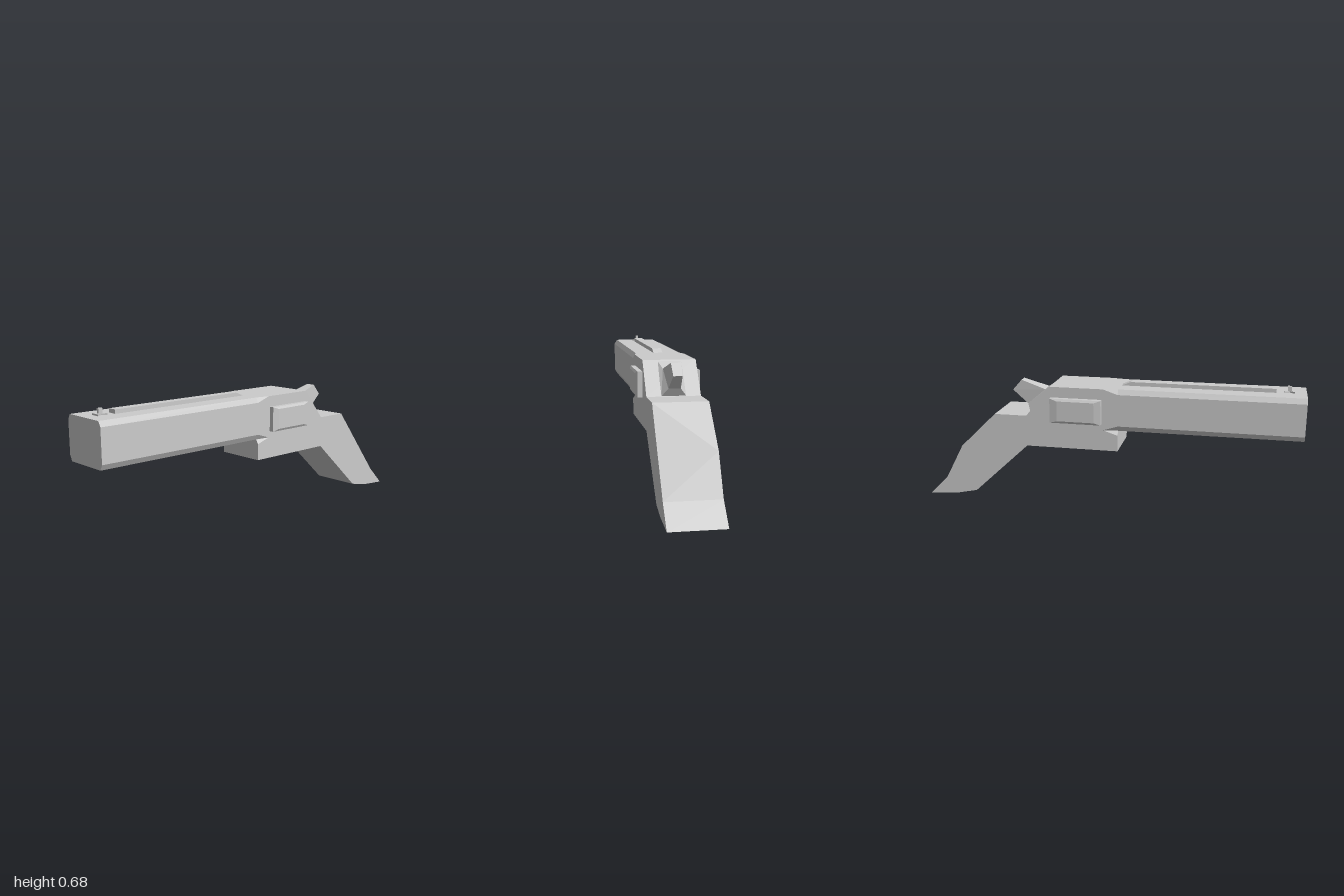
import * as THREE from 'three';
import { ConvexGeometry } from 'three/addons/geometries/ConvexGeometry.js';

const material = new THREE.MeshStandardMaterial({ color: 0xcccccc, flatShading: true, side: THREE.DoubleSide });
const HALF = 0.133; // half width of the frame

function part(name, geometry) {
  const mesh = new THREE.Mesh(geometry, material);
  mesh.name = name;
  return mesh;
}

const points = (list) => list.map((p) => new THREE.Vector3(...p));

// Full outline from its right half, which runs from top to bottom
function mirrored(half, z) {
  return points([
    ...half.map(([x, y]) => [x, y, z]),
    ...half.map(([x, y]) => [-x, y, z]).reverse(),
  ]);
}

// Skin between rings of equal point count (clockwise seen from +z, front ring first)
function loft(rings) {
  const pos = [];
  const tri = (a, b, c) => {
    const area = new THREE.Vector3().crossVectors(b.clone().sub(a), c.clone().sub(a)).length();
    if (area > 1e-8) for (const p of [a, b, c]) pos.push(p.x, p.y, p.z);
  };
  for (let r = 0; r < rings.length - 1; r++) {
    const f = rings[r], g = rings[r + 1], n = f.length;
    for (let i = 0; i < n; i++) {
      const j = (i + 1) % n;
      tri(f[i], f[j], g[i]);
      tri(f[j], g[j], g[i]);
    }
  }
  const cap = (ring, flip) => {
    const flat = ring.map((p) => new THREE.Vector2(p.x, p.y)).reverse();
    const rev = [...ring].reverse();
    for (const [a, b, c] of THREE.ShapeUtils.triangulateShape(flat, [])) {
      if (flip) tri(rev[a], rev[c], rev[b]);
      else tri(rev[a], rev[b], rev[c]);
    }
  };
  cap(rings[0], false);
  cap(rings[rings.length - 1], true);
  const geo = new THREE.BufferGeometry();
  geo.setAttribute('position', new THREE.Float32BufferAttribute(pos, 3));
  geo.computeVertexNormals();
  return geo;
}

// Side profile of [z, y] points extruded across x
function sideExtrude(profile, width, xCentre = 0) {
  const shape = new THREE.Shape(profile.map(([z, y]) => new THREE.Vector2(-z, y)));
  return new THREE.ExtrudeGeometry(shape, { depth: width, bevelEnabled: false })
    .rotateY(Math.PI / 2)
    .translate(xCentre - width / 2, 0, 0);
}

export function createModel() {
  const group = new THREE.Group();

  // Long barrel with chamfered corners
  const barrel = [[0.118, 0.643], [HALF, 0.617], [HALF, 0.45], [0.118, 0.423]];
  group.add(part('barrel', loft([mirrored(barrel, 1), mirrored(barrel, 0.06)])));

  // Front of the frame, where chamfers and side grooves run out to a point
  const front = [...barrel, [HALF, 0.4], [HALF, 0.315]];
  const back = [[HALF, 0.643], [HALF, 0.643], [HALF, 0.425], [HALF, 0.425], [HALF, 0.425], [HALF, 0.315]];
  group.add(part('frameFront', loft([mirrored(front, 0.06), mirrored(back, -0.017)])));

  // Frame and grip share one side profile
  group.add(part('frameAndGrip', sideExtrude([
    [-0.017, 0.315], [-0.43, 0.315], [-0.73, 0.037], [-0.84, 0.013], [-1, 0],
    [-0.9, 0.1], [-0.605, 0.48], [-0.43, 0.48], [-0.3, 0.643], [-0.017, 0.643],
  ], 2 * HALF)));

  // Swell on the back of the grip, fuller on the right
  group.add(part('gripSwell', new ConvexGeometry(points([
    [HALF, 0.48, -0.605], [-HALF, 0.48, -0.605], [-HALF, 0.29, -0.8],
    [HALF, 0.1, -0.9], [-HALF, 0.1, -0.9],
  ]))));

  // Hammer: flared root, neck and raised spur
  const hammerRing = (zTop, yTop, wTop, zLow, yLow, wLow) => points([
    [wTop, yTop, zTop], [wLow, yLow, zLow], [-wLow, yLow, zLow], [-wTop, yTop, zTop],
  ]);
  group.add(part('hammer', loft([
    hammerRing(-0.3, 0.64, 0.06, -0.43, 0.482, 0.06),
    hammerRing(-0.35, 0.605, 0.04, -0.45, 0.52, 0.03),
    hammerRing(-0.485, 0.647, 0.025, -0.535, 0.59, 0.022),
  ])));

  // Raised side plates with bevelled faces
  for (const [name, s] of [['leftSidePlate', 1], ['rightSidePlate', -1]]) {
    const corners = [];
    for (const [x, z0, z1, y0, y1] of [
      [0.125, -0.025, -0.295, 0.457, 0.587],
      [0.158, -0.025, -0.295, 0.457, 0.587],
      [0.165, -0.06, -0.255, 0.469, 0.575],
    ]) {
      for (const z of [z0, z1]) for (const y of [y0, y1]) corners.push([s * x, y, z]);
    }
    group.add(part(name, new ConvexGeometry(points(corners))));
  }

  // Rib along the top of the barrel, ramped at the rear
  group.add(part('topRib', sideExtrude(
    [[0.85, 0.64], [0.055, 0.64], [0.11, 0.663], [0.85, 0.663]], 0.049, -0.003)));

  // Front sight: bow-tie foot and post
  const foot = new THREE.Shape([
    [-0.024, -0.025], [0.024, -0.025], [0.007, 0], [0.024, 0.025], [-0.024, 0.025], [-0.007, 0],
  ].map(([x, y]) => new THREE.Vector2(x, y)));
  group.add(part('sightFoot', new THREE.ExtrudeGeometry(foot, { depth: 0.009, bevelEnabled: false })
    .rotateX(-Math.PI / 2).translate(-0.003, 0.642, 0.915)));
  group.add(part('sightPost', new THREE.BoxGeometry(0.015, 0.034, 0.02).translate(-0.003, 0.658, 0.915)));

  return group;
}
